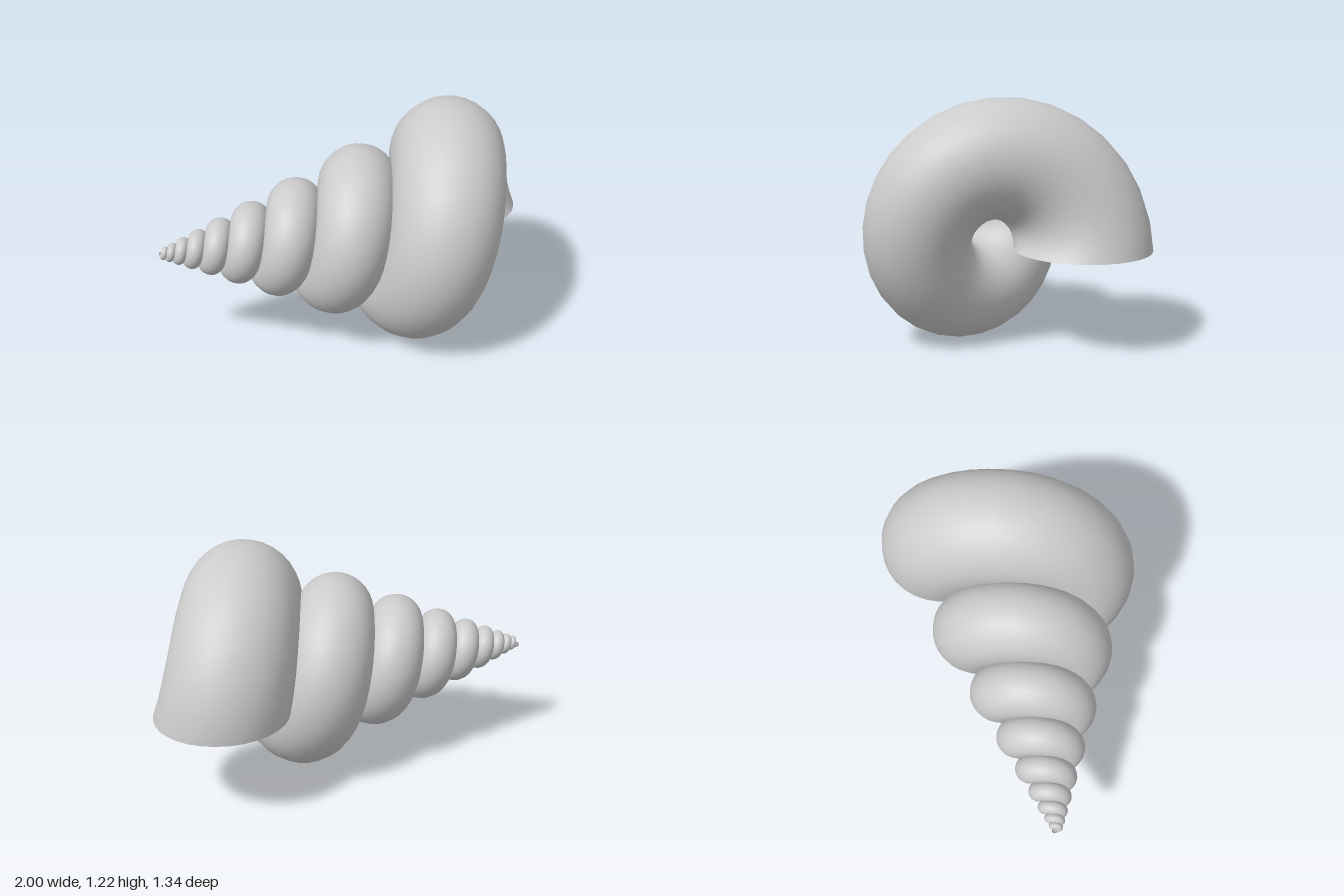
import * as THREE from 'three';
import { ParametricGeometry } from 'three/addons/geometries/ParametricGeometry.js';

const TURNS = 9;                                    // whorls from tip to mouth
const RATIO = 0.692;                                // shrinkage per whorl towards the tip
const APEX = new THREE.Vector3(-1.05, 0.555, 0.06); // point the spiral converges to
const LENGTH = 1.715;                               // apex to mouth centre, along the axis
const ORBIT = 0.395;                                // mouth centre, out from the axis
const LEAD = 0.065;                                 // mouth centre, ahead of the radial plane
const TUBE = 0.335;                                 // mouth radius

// Point on the shell: t runs from tip to mouth, w runs round the tube
function shellPoint(t, w, target) {
  const turnsBack = (1 - t) * TURNS;
  const scale = Math.pow(RATIO, turnsBack);
  const a = turnsBack * Math.PI * 2;
  const b = w * Math.PI * 2;
  const out = ORBIT + TUBE * Math.cos(b);
  const y = out * Math.sin(a) - LEAD * Math.cos(a);
  const z = -out * Math.cos(a) - LEAD * Math.sin(a);
  target.set(LENGTH - TUBE * Math.sin(b), y, z).multiplyScalar(scale).add(APEX);
}

export function createModel() {
  const group = new THREE.Group();
  group.name = 'spiralShell';

  // One growing tube, open at the mouth
  const material = new THREE.MeshStandardMaterial({ color: 0xcccccc, side: THREE.DoubleSide });
  const whorls = new THREE.Mesh(new ParametricGeometry(shellPoint, TURNS * 30, 32), material);
  whorls.name = 'whorls';
  group.add(whorls);

  return group;
}
